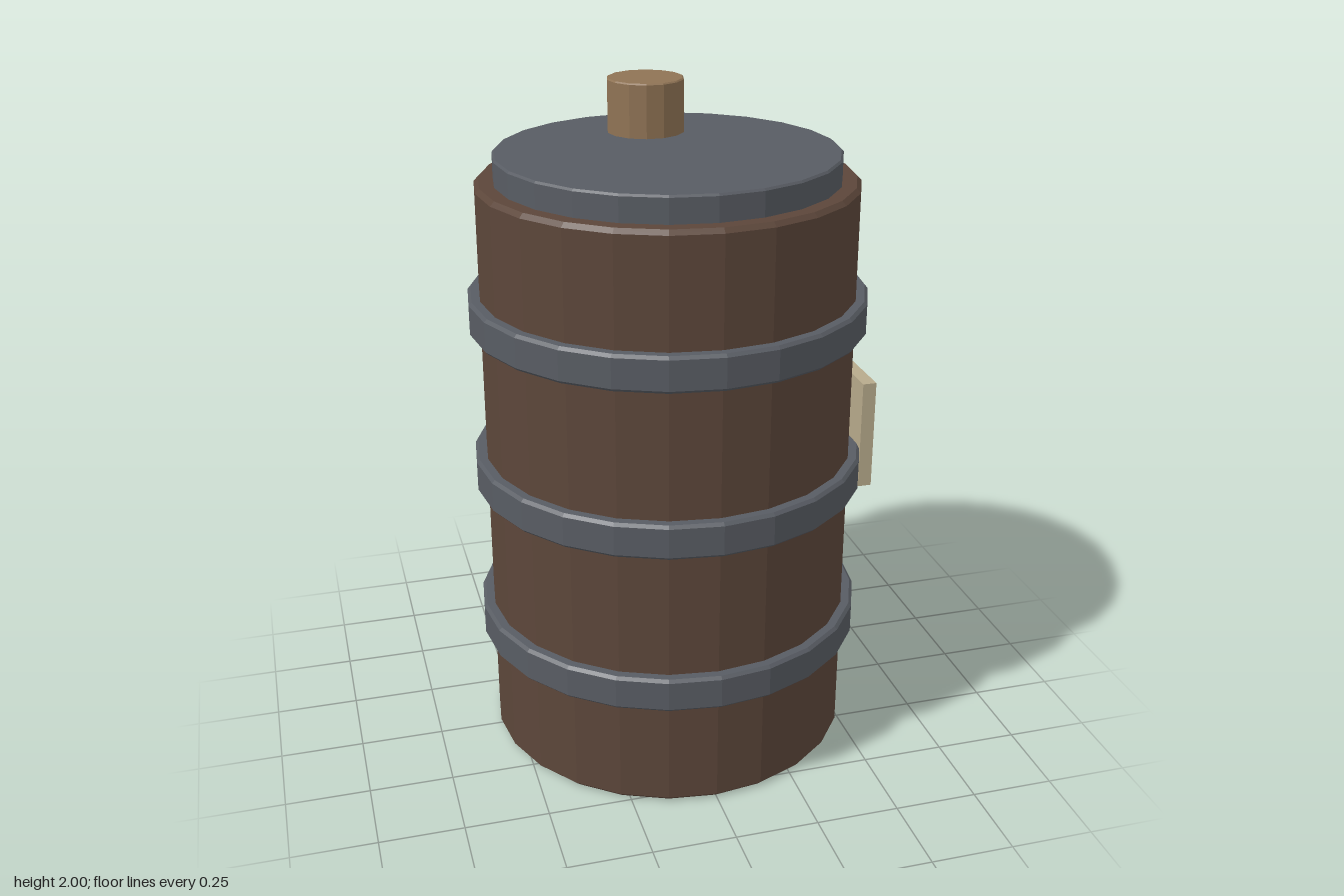
import * as THREE from 'three';

function material(name, color) {
  const m = new THREE.MeshStandardMaterial({ color, flatShading: true });
  m.name = name;
  return m;
}

// Solid faceted drum with small chamfers at both rims
function drum(name, mat, radius, y0, y1, bevel, sides) {
  const profile = [
    [0, y0], [radius - bevel, y0], [radius, y0 + bevel],
    [radius, y1 - bevel], [radius - bevel, y1], [0, y1],
  ].map(([x, y]) => new THREE.Vector2(x, y));
  const mesh = new THREE.Mesh(new THREE.LatheGeometry(profile, sides), mat);
  mesh.name = name;
  return mesh;
}

export function createModel() {
  const wood = material('dark brown wood', 0x5c463a);
  const iron = material('grey iron', 0x585c63);
  const cork = material('light brown cork', 0x8f7354);
  const paper = material('cream label', 0xb7aa8b);

  const model = new THREE.Group();
  model.name = 'barrel';

  // Body and lid
  model.add(drum('body', wood, 0.557, 0, 1.763, 0.013, 24));
  model.add(drum('lid', iron, 0.502, 1.75, 1.84, 0.006, 24));

  // Three hoops around the body
  [0.39, 0.885, 1.38].forEach((y, i) => {
    model.add(drum('hoop' + (i + 1), iron, 0.591, y - 0.053, y + 0.053, 0.009, 24));
  });

  // Stopper near the back of the lid
  const stopper = drum('stopper', cork, 0.116, 1.83, 2, 0.004, 14);
  stopper.rotation.y = Math.PI / 2;
  stopper.position.z = -0.25;
  model.add(stopper);

  // Label plate on the side; the middle hoop's edge just shows through it
  const label = new THREE.Mesh(new THREE.BoxGeometry(0.042, 0.338, 0.428), paper);
  label.name = 'labelPlate';
  label.position.set(0.569, 0.974, 0);
  model.add(label);

  return model;
}
